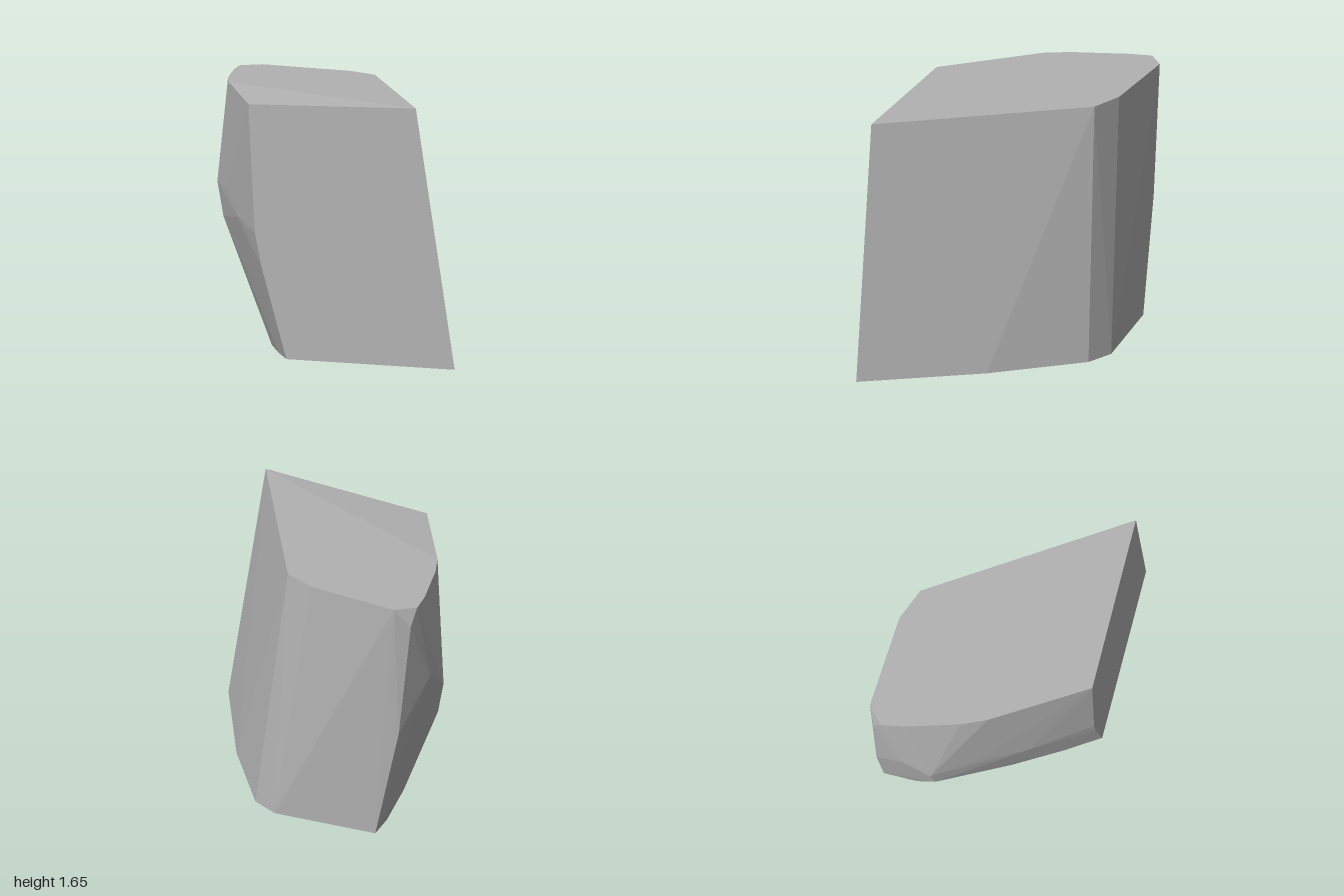
import * as THREE from 'three';
import { ConvexGeometry } from 'three/addons/geometries/ConvexGeometry.js';

// One leaning convex stone block, faceted, built from rings of corner points.
export function createModel() {
  const group = new THREE.Group();
  group.name = 'stoneBlock';
  const stone = new THREE.MeshStandardMaterial({ color: 0xb2b2b2, flatShading: true });
  stone.name = 'grey stone';

  // flat foot: [x, z] at y = 0
  const foot = [
    [1, 0.665], [0.57, -0.05], [0.45, -0.2], [0.16, -0.58], [-0.02, -0.665],
    [-0.71, -0.615], [-0.69, -0.42], [-0.577, -0.126], [-0.46, 0.16], [-0.29, 0.45], [-0.15, 0.665],
  ].map(([x, z]) => [x, 0, z]);

  // flat top: [x, z] at y = 1.65
  const top = [
    [0.735, 0.665], [-0.05, -0.54], [-0.26, -0.625], [-0.87, -0.665],
    [-0.985, -0.57], [-0.96, -0.42], [-0.86, -0.08], [-0.79, 0.08],
  ].map(([x, z]) => [x, 1.65, z]);

  // bulging side, chipped back corner and lowered front corner
  const side = [
    [-0.41, 1.61, 0.665], [-0.365, 0.79, 0.665], [-0.32, 0.58, 0.665],
    [-0.63, 0.83, 0.31], [-0.83, 0.96, 0.02], [-1, 0.96, -0.24], [-1, 1.1, -0.42],
    [-0.95, 0.74, -0.22], [-0.79, 0.22, -0.38], [-0.88, 0.75, -0.62], [-0.965, 1.53, -0.62],
  ];

  const points = [...foot, ...top, ...side].map((p) => new THREE.Vector3(...p));
  const block = new THREE.Mesh(new ConvexGeometry(points), stone);
  block.name = 'block';
  group.add(block);
  return group;
}
